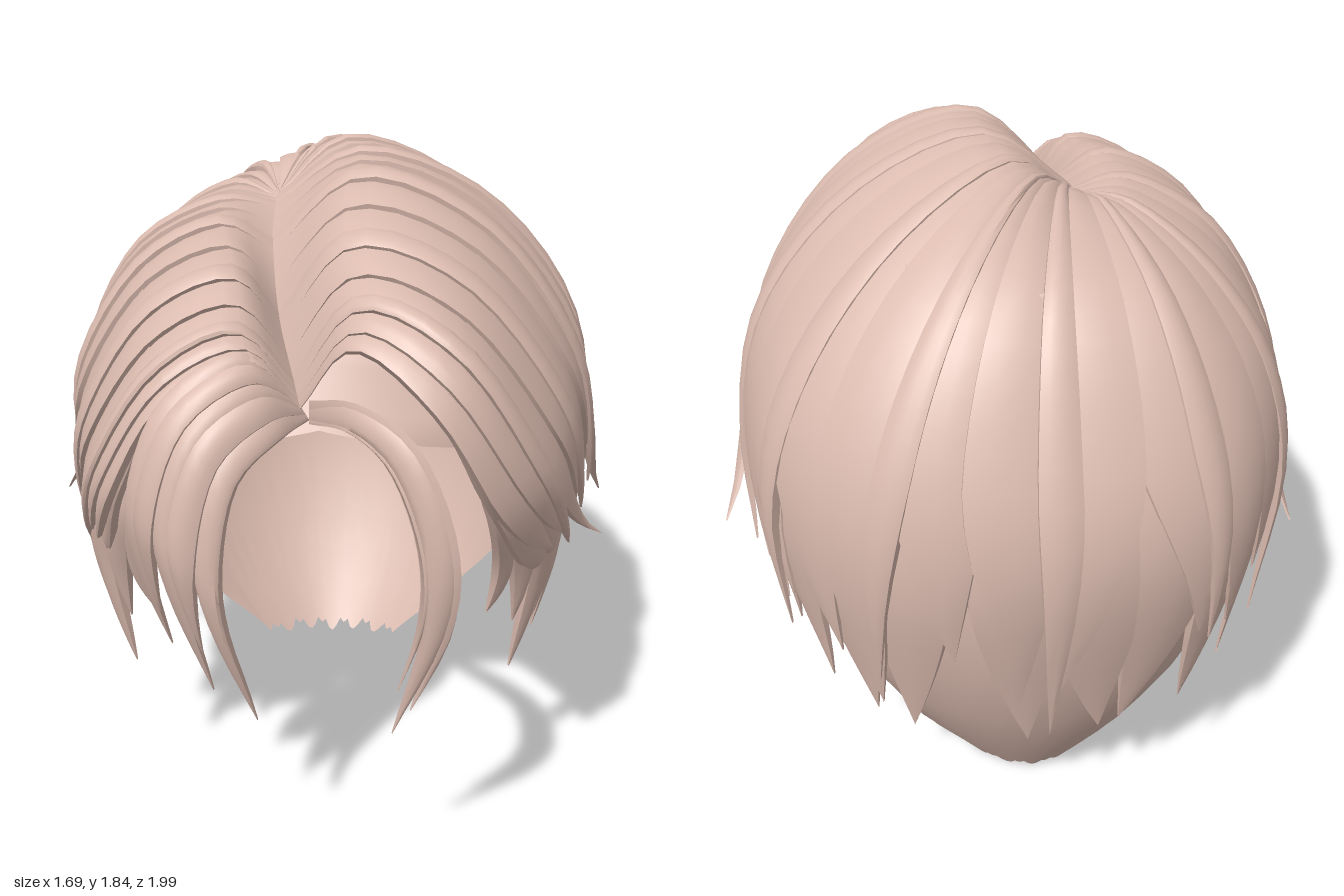
import * as THREE from 'three';
import { toCreasedNormals } from 'three/addons/utils/BufferGeometryUtils.js';

const material = new THREE.MeshStandardMaterial({ color: 0xdcbcb0, side: THREE.DoubleSide });
const CENTRE = new THREE.Vector3(0, 0.95, -0.08);

// Guide strands, root to tip, on the +x side from the brow to the back centre
const leftGuides = [
  [[-.04, 1.32, .67], [.09, 1.5, .77], [.28, 1.38, .88], [.43, 1.12, .83], [.54, .89, .64], [.63, .76, .38]],
  [[-.06, 1.36, .62], [.1, 1.58, .68], [.34, 1.5, .8], [.54, 1.2, .74], [.64, .95, .52], [.69, .75, .25]],
  [[-.11, 1.47, .42], [.08, 1.69, .45], [.37, 1.6, .5], [.61, 1.3, .49], [.7, 1, .34], [.73, .74, .1]],
  [[-.14, 1.6, .15], [.1, 1.79, .18], [.43, 1.66, .2], [.67, 1.35, .18], [.76, 1.02, .08], [.77, .7, -.1]],
  [[-.145, 1.67, -.08], [.1, 1.81, -.05], [.44, 1.68, -.1], [.69, 1.38, -.14], [.77, 1, -.2], [.74, .62, -.32]],
  [[-.14, 1.68, -.13], [.06, 1.81, -.25], [.37, 1.67, -.42], [.6, 1.38, -.53], [.69, 1, -.56], [.62, .48, -.55]],
  [[-.14, 1.68, -.15], [0, 1.79, -.35], [.2, 1.67, -.65], [.35, 1.38, -.83], [.41, 1, -.89], [.38, .43, -.79]],
  [[-.14, 1.68, -.16], [-.08, 1.76, -.35], [-.02, 1.66, -.7], [0, 1.38, -.89], [0, 1, -.98], [0, .4, -.86]],
];
// The same on the -x side, from the back to the brow
const rightGuides = [
  [[-.14, 1.68, -.15], [-.2, 1.71, -.34], [-.29, 1.61, -.64], [-.37, 1.36, -.81], [-.42, 1, -.88], [-.38, .43, -.79]],
  [[-.14, 1.67, -.13], [-.27, 1.68, -.26], [-.45, 1.56, -.42], [-.59, 1.34, -.53], [-.65, 1, -.56], [-.59, .48, -.55]],
  [[-.14, 1.66, -.09], [-.3, 1.67, -.06], [-.53, 1.54, -.1], [-.68, 1.28, -.14], [-.72, 1, -.2], [-.7, .62, -.3]],
  [[-.135, 1.6, .15], [-.28, 1.66, .16], [-.5, 1.54, .16], [-.67, 1.27, .14], [-.71, 1, .04], [-.72, .7, -.12]],
  [[-.1, 1.47, .42], [-.22, 1.6, .45], [-.44, 1.5, .46], [-.61, 1.23, .43], [-.67, .98, .3], [-.69, .72, .08]],
  [[-.05, 1.36, .62], [-.19, 1.51, .65], [-.39, 1.42, .7], [-.55, 1.17, .66], [-.62, .94, .48], [-.65, .74, .24]],
  [[-.04, 1.32, .67], [-.16, 1.45, .71], [-.36, 1.36, .76], [-.5, 1.12, .73], [-.57, .9, .57], [-.61, .74, .36]],
];
// Curtain bangs, inner to outer
const rightBangGuides = [
  [[-.02, 1.28, .64], [-.08, 1.28, .77], [-.18, 1.2, .87], [-.22, 1, .9], [-.21, .8, .88], [-.14, .5, .8]],
  [[-.04, 1.32, .65], [-.14, 1.39, .75], [-.28, 1.31, .84], [-.35, 1.1, .87], [-.34, .9, .85], [-.28, .6, .78]],
  [[-.05, 1.35, .64], [-.18, 1.47, .7], [-.36, 1.37, .76], [-.45, 1.15, .77], [-.46, .92, .71], [-.42, .62, .6]],
];
const leftBangGuides = [
  [[-.02, 1.27, .64], [.08, 1.31, .8], [.18, 1.25, .9], [.25, 1.06, .94], [.25, .84, .92], [.17, .52, .85]],
  [[-.02, 1.33, .64], [.1, 1.38, .8], [.24, 1.32, .92], [.33, 1.1, .95], [.33, .85, .92], [.23, .52, .85]],
];
// Strands hanging at the temple, front to back, on the +x side
const templeGuides = [
  [[.38, 1.22, .77], [.45, 1.02, .7], [.48, .82, .58], [.46, .6, .52]],
  [[.53, 1.25, .55], [.6, 1, .52], [.61, .75, .45], [.56, .42, .41]],
  [[.64, 1.2, .32], [.69, .95, .3], [.68, .72, .25], [.64, .46, .24]],
];

function seeded(seed) {
  return () => (seed = (seed * 16807) % 2147483647) / 2147483647;
}

function curve(points) {
  return new THREE.CatmullRomCurve3(points, false, 'catmullrom', 0.5);
}

// Surface through guide strands: s runs across strands, t from root to tip
function flow(guides) {
  const strands = guides.map(g => curve(g.map(p => new THREE.Vector3(...p))));
  return (s, t) => curve(strands.map(c => c.getPoint(t))).getPoint(THREE.MathUtils.clamp(s, 0, 1));
}

function gridGeometry(points, rows, cols, closed) {
  const index = [];
  for (let i = 0; i < rows - 1; i++) {
    for (let j = 0; j < (closed ? cols : cols - 1); j++) {
      const k = (j + 1) % cols;
      const a = i * cols + j, b = i * cols + k, c = a + cols, d = b + cols;
      index.push(a, c, b, b, c, d);
    }
  }
  const geometry = new THREE.BufferGeometry().setFromPoints(points);
  geometry.setIndex(index);
  return geometry;
}

// Lock cross-section: across the width, and height above the flow surface
const SECTION = [[-1, -.3], [-.94, .7], [-.5, .95], [0, 1], [.5, .95], [.94, .7], [1, -.3], [.5, -.3], [0, -.3], [-.5, -.3]];

// A tapering lock lying on a flow surface; tilt raises one edge over its neighbour
function lock(surface, { s, width, start = 0, end = 1, lift = 0, height = 0.03, tilt = 0, bend = 0, flick = 0, drop = 0 }) {
  const rows = 21, points = [];
  for (let i = 0; i < rows; i++) {
    const k = i / (rows - 1);
    const t = start + (end - start) * k;
    const taper = k < 0.68 ? 1 : 1 - Math.pow((k - 0.68) / 0.32, 1.6);
    const thick = height * Math.min(1, 0.35 + k * 3) * (0.15 + 0.85 * taper);
    for (const [u, h] of SECTION) {
      const p = surface(s + u * width * taper + bend * k ** 4, t);
      const out = p.clone().sub(CENTRE).normalize();
      p.addScaledVector(out, (lift + u * tilt * taper) * Math.min(1, k * 4) + h * thick);
      out.y = 0;
      p.addScaledVector(out.normalize(), flick * k ** 10);
      p.y -= drop * k ** 3;
      points.push(p);
    }
  }
  const geometry = toCreasedNormals(gridGeometry(points, rows, SECTION.length, true), 0.7);
  return new THREE.Mesh(geometry, material);
}

function named(name, meshes) {
  const group = new THREE.Group();
  group.name = name;
  meshes.forEach((m, i) => { m.name = name + (i + 1); group.add(m); });
  return group;
}

// Linear lookup in a list of [key, value] pairs
function lookup(table, x) {
  let i = 1;
  while (i < table.length - 1 && x > table[i][0]) i++;
  const [x0, y0] = table[i - 1], [x1, y1] = table[i];
  return THREE.MathUtils.lerp(y0, y1, THREE.MathUtils.clamp((x - x0) / (x1 - x0), 0, 1));
}

// Scalp shell: hem height by angle from the back, then radii by height
const HEM = [[0, 0], [41, .03], [54, .19], [67, .42], [78, .66], [90, .7], [104, .6], [116, .63], [126, .82], [146, 1.14], [180, 1.22]];
const HALF_WIDTH = [[0, .28], [.05, .32], [.2, .46], [.4, .58], [.6, .66], [.8, .69], [1, .69], [1.2, .66], [1.4, .55], [1.55, .36], [1.64, 0]];
const DEPTH = [[0, .46], [.2, .59], [.4, .69], [.6, .76], [.8, .8], [1, .81], [1.2, .76], [1.4, .64], [1.55, .42], [1.64, 0]];

function scalp() {
  const rows = 22, cols = 145, points = [];
  for (let i = 0; i < rows; i++) {
    for (let j = 0; j < cols; j++) {
      const degrees = -180 + (360 * j) / (cols - 1);
      const angle = THREE.MathUtils.degToRad(degrees);
      const away = Math.abs(degrees);
      // Ragged nape edge
      const notch = away < 42 ? [0, .012, .035, .02, .03, .005][j % 6] : 0;
      const hem = lookup(HEM, away) + notch;
      const y = THREE.MathUtils.lerp(hem, 1.64, Math.sin((i / (rows - 1)) * Math.PI / 2));
      const front = away > 90 ? 0.88 : 1;
      points.push(new THREE.Vector3(
        Math.sin(angle) * lookup(HALF_WIDTH, y), y,
        -0.1 - Math.cos(angle) * lookup(DEPTH, y) * front));
    }
  }
  const geometry = gridGeometry(points, rows, cols, false);
  geometry.computeVertexNormals();
  const mesh = new THREE.Mesh(geometry, material);
  mesh.name = 'scalp';
  return mesh;
}

export function createModel() {
  const random = seeded(77);
  const hair = new THREE.Group();
  hair.name = 'hair';
  hair.add(scalp());

  const crown = flow([...leftGuides, ...rightGuides]);

  // Broad overlapping locks all around the head
  const count = 28;
  const broad = [], narrow = [], under = [];
  for (let i = 0; i < count; i++) {
    const s = (i + 0.5) / count, side = s < 0.5 ? 1 : -1;
    const flicked = [2, 6, 20, 22].includes(i);
    broad.push(lock(crown, {
      s, width: 0.024, end: flicked ? 0.96 : 0.88 + random() * 0.1, lift: -0.014, tilt: -side * 0.014,
      bend: Math.abs(s - 0.5) > 0.2 ? side * 0.025 : (random() - 0.5) * 0.04,
      flick: flicked ? 0.11 : 0.01,
    }));
  }
  // Slim raised strands between some of them
  for (let i = 2; i < count; i += 2) {
    narrow.push(lock(crown, {
      s: i / count + (random() - 0.5) * 0.01, width: 0.01, end: 0.9 + random() * 0.1, lift: 0.002,
      bend: (random() - 0.5) * 0.03, flick: 0.015,
    }));
  }
  // Longer strands hanging below the outer layer
  for (let i = 0; i < 26; i++) {
    under.push(lock(crown, {
      s: (i + 0.5 + (random() - 0.5) * 0.4) / 26, width: 0.022, start: 0.4, lift: -0.035, height: 0.025,
      bend: (random() - 0.5) * 0.04, drop: random() * 0.06,
    }));
  }
  hair.add(named('broadLock', broad), named('slimStrand', narrow), named('underStrand', under));

  // Temple strands, mirrored
  for (const side of [1, -1]) {
    const temple = flow(templeGuides.map(g => g.map(([x, y, z]) => [x * side, y, z])));
    hair.add(named(side > 0 ? 'leftTempleStrand' : 'rightTempleStrand', [0.05, 0.28, 0.5, 0.72, 0.95].map((s, i) => lock(temple, {
      s, width: 0.13, end: [0.9, 0.85, 1, 0.88, 0.96][i], lift: -0.03, height: 0.025, bend: (i % 2) * 0.1 - 0.05,
    }))));
  }

  // Curtain bangs either side of the parting
  const rightBang = flow(rightBangGuides), leftBang = flow(leftBangGuides);
  hair.add(named('rightBang', [0.1, 0.3, 0.5, 0.7, 0.9].map((s, i) => lock(rightBang, {
    s, width: 0.13, end: [1, 0.9, 1, 0.88, 0.97][i], lift: (i % 2) * 0.012, bend: (i % 2) * 0.12 - 0.06,
  }))));
  hair.add(named('leftBang', [0.2, 0.55, 0.85].map((s, i) => lock(leftBang, {
    s, width: 0.28, end: [0.92, 1, 0.96][i], lift: (i % 2) * 0.012,
  }))));
  return hair;
}
